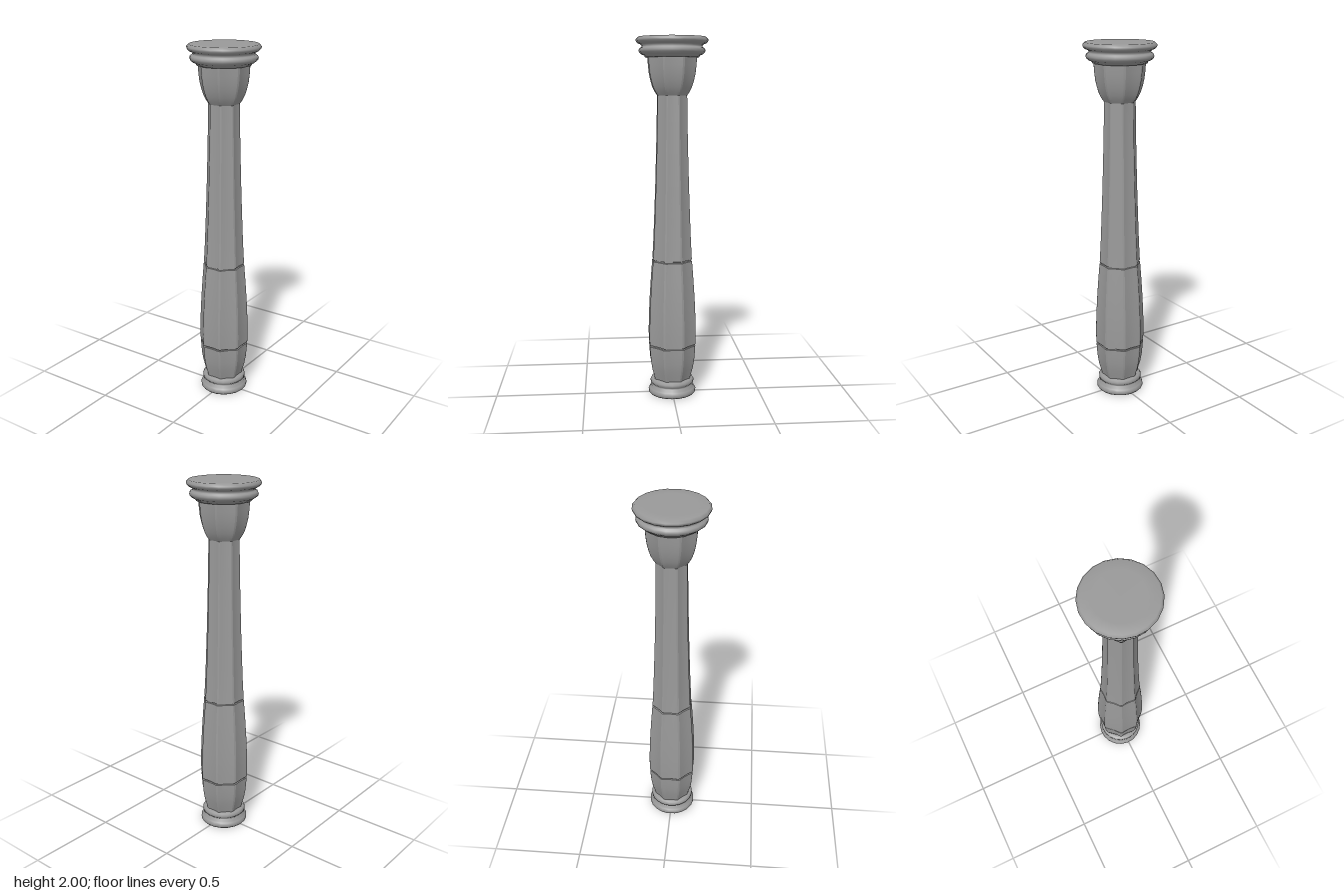
import * as THREE from 'three';
import { toCreasedNormals } from 'three/addons/utils/BufferGeometryUtils.js';

const material = new THREE.MeshStandardMaterial({ color: 0x999999 });

// Lofts an octagon with hollowed faces and narrow chamfers through [apothem, y] pairs
function octagonLoft(profile) {
  const ring = [], half = 0.365;
  for (let i = 0; i < 8; i++) {
    const a = i * Math.PI / 4;
    for (const t of [-1, -0.5, 0, 0.5, 1]) {
      const out = 1 - 0.03 * (1 - t * t), side = t * half;
      ring.push([out * Math.sin(a) + side * Math.cos(a), out * Math.cos(a) - side * Math.sin(a)]);
    }
  }
  const n = ring.length, positions = [], index = [];
  profile.forEach(([r, y], j) => {
    ring.forEach(([x, z]) => positions.push(x * r, y, z * r));
    if (j === 0) return;
    for (let i = 0; i < n; i++) {
      const a = (j - 1) * n + i, b = (j - 1) * n + (i + 1) % n;
      index.push(a, b, b + n, a, b + n, a + n);
    }
  });
  const geometry = new THREE.BufferGeometry();
  geometry.setAttribute('position', new THREE.Float32BufferAttribute(positions, 3));
  geometry.setIndex(index);
  return toCreasedNormals(geometry, 0.45);
}

// Smooth round moulding with twenty sides, closed by the profile ends
function moulding(profile) {
  const points = profile.map(([r, y]) => new THREE.Vector2(r, y));
  return new THREE.LatheGeometry(points, 20, THREE.MathUtils.degToRad(13.6));
}

export function createModel() {
  const column = new THREE.Group();
  column.name = 'column';
  const add = (name, geometry) => {
    const mesh = new THREE.Mesh(geometry, material);
    mesh.name = name;
    column.add(mesh);
  };

  // Stepped foot
  add('base', moulding([
    [0, 0], [0.11, 0], [0.128, 0], [0.134, 0.007], [0.135, 0.02], [0.129, 0.032], [0.121, 0.037],
    [0.121, 0.046], [0.114, 0.05], [0.115, 0.057], [0.123, 0.064], [0.124, 0.076], [0.117, 0.088],
    [0.1, 0.09], [0, 0.09],
  ]));

  // Swelling shaft with two narrow grooves
  add('shaft', octagonLoft([
    [0.097, 0.08], [0.104, 0.11], [0.115, 0.15], [0.123, 0.2], [0.127, 0.25], [0.129, 0.285],
    [0.122, 0.287], [0.122, 0.293], [0.13, 0.295],
    [0.131, 0.36], [0.129, 0.45], [0.124, 0.56], [0.117, 0.67], [0.109, 0.775],
    [0.102, 0.777], [0.102, 0.783], [0.108, 0.785],
    [0.102, 0.9], [0.097, 1.03], [0.091, 1.2], [0.086, 1.38], [0.082, 1.55], [0.08, 1.7],
  ]));

  // Flaring bell of the capital
  add('capitalBell', octagonLoft([
    [0.08, 1.69], [0.093, 1.71], [0.105, 1.735], [0.115, 1.768],
    [0.123, 1.805], [0.128, 1.85], [0.131, 1.9],
  ]));

  // Two-tier round cap
  add('capitalTop', moulding([
    [0, 1.892], [0.12, 1.892], [0.146, 1.892], [0.15, 1.902], [0.166, 1.908], [0.178, 1.919],
    [0.181, 1.93], [0.177, 1.94], [0.166, 1.946], [0.164, 1.953], [0.169, 1.96], [0.184, 1.966],
    [0.194, 1.976], [0.197, 1.987], [0.185, 2], [0.13, 2], [0, 2],
  ]));

  return column;
}
